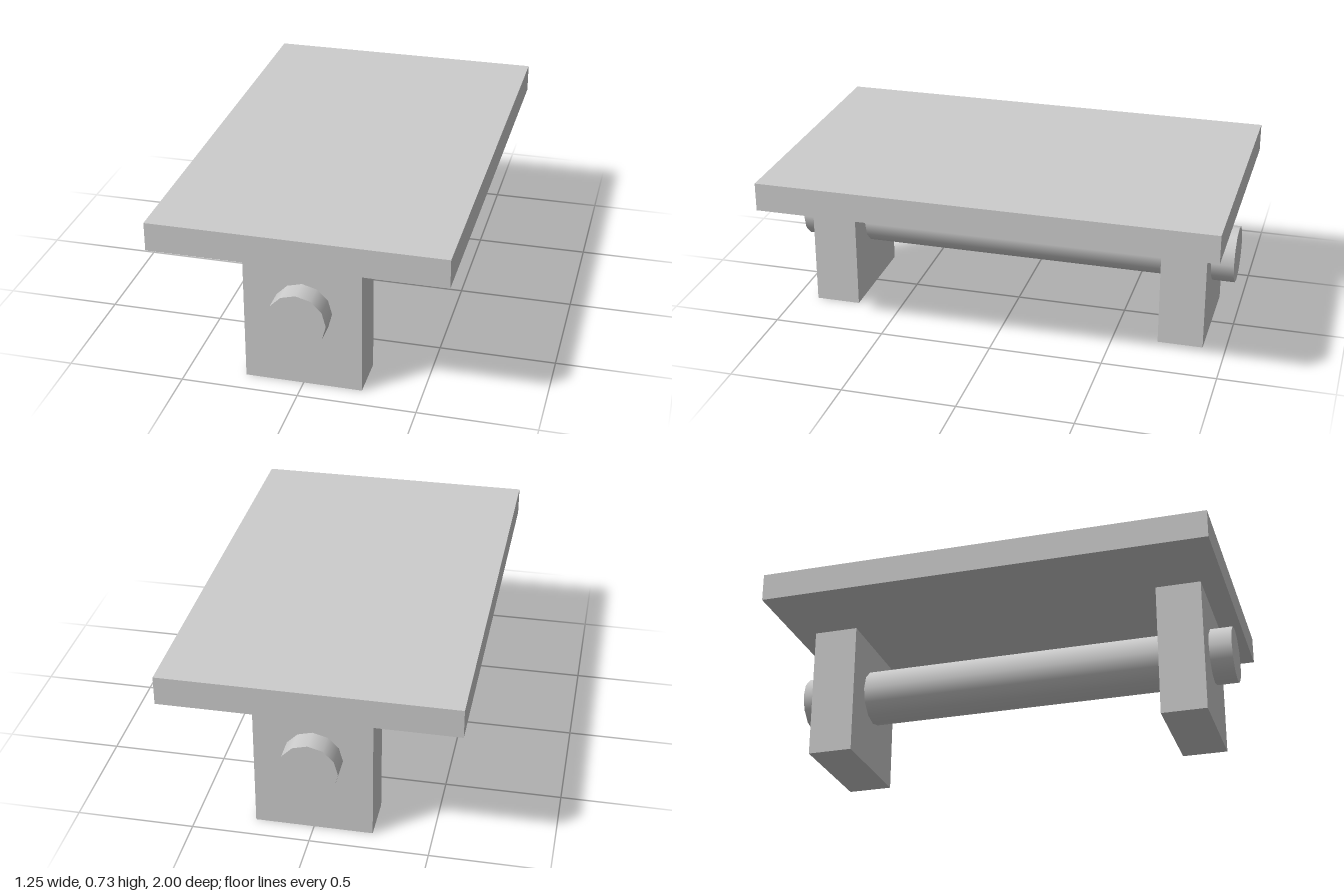
import * as THREE from 'three';

export function createModel() {
  const group = new THREE.Group();
  const grey = new THREE.MeshStandardMaterial({ color: 0xcccccc });
  grey.name = 'light grey';

  function add(name, geometry, x, y, z) {
    const mesh = new THREE.Mesh(geometry, grey);
    mesh.name = name;
    mesh.position.set(x, y, z);
    group.add(mesh);
    return mesh;
  }

  // Flat slab on top
  add('tableTop', new THREE.BoxGeometry(1.25, 0.125, 2), 0, 0.6625, 0);

  // Two upright legs, front and back
  for (const [name, side] of [['frontLeg', 1], ['backLeg', -1]]) {
    add(name, new THREE.BoxGeometry(0.5, 0.6, 0.2), 0, 0.3, side * 0.8);
  }

  // Twelve-sided bar running through both legs
  const bar = new THREE.CylinderGeometry(0.125, 0.125, 2, 12);
  bar.rotateX(Math.PI / 2);
  add('crossBar', bar, 0, 0.35, 0);

  return group;
}
